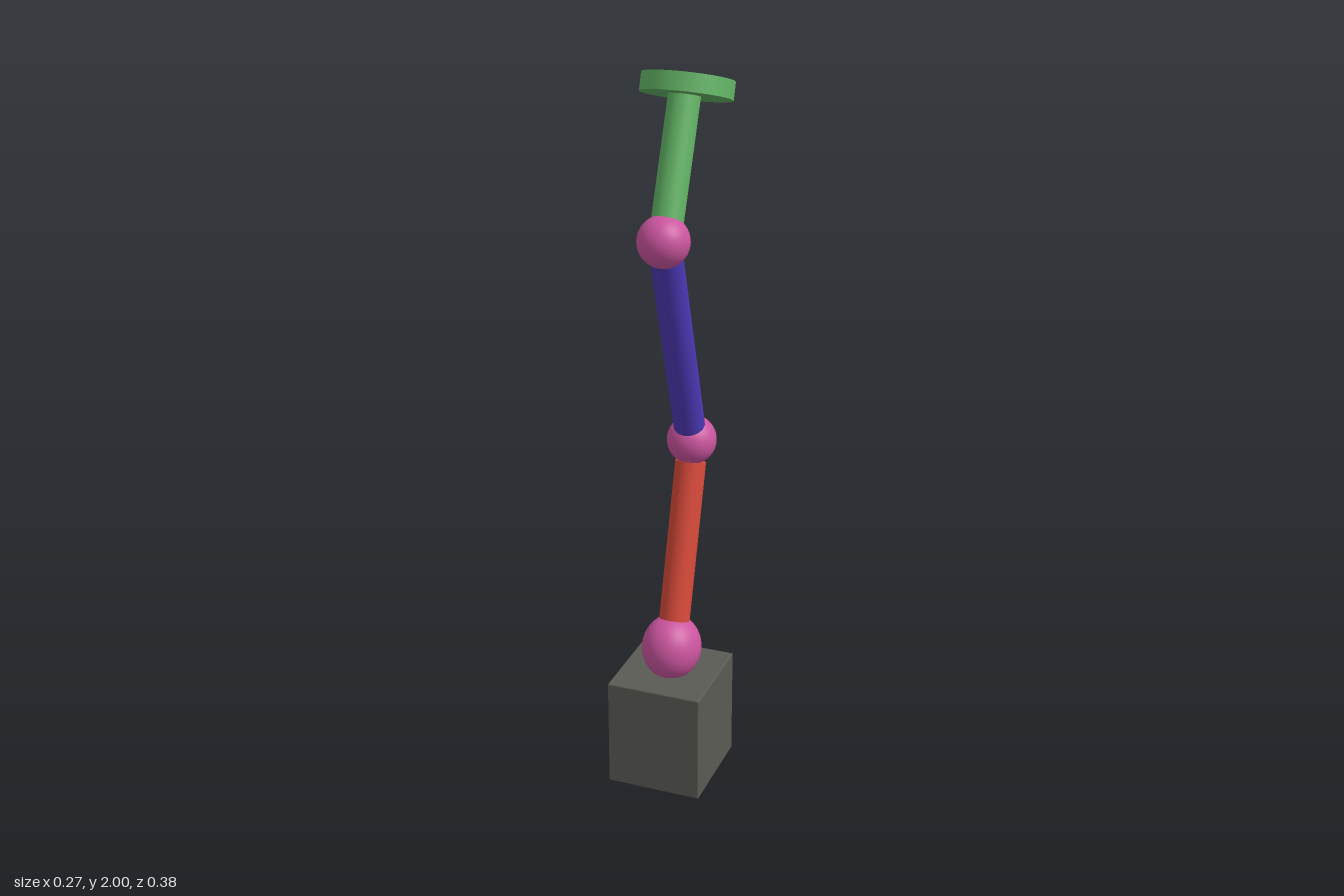
import * as THREE from 'three';
import { RoundedBoxGeometry } from 'three/addons/geometries/RoundedBoxGeometry.js';

const mat = (name, color) => {
  const m = new THREE.MeshStandardMaterial({ color });
  m.name = name;
  return m;
};

export function createModel() {
  const grey = mat('base grey', 0x5b5b55);
  const pink = mat('joint pink', 0xcb559f);
  const red = mat('lower red', 0xd64939);
  const blue = mat('middle blue', 0x4d38b6);
  const green = mat('upper green', 0x62b365);

  const model = new THREE.Group();
  model.name = 'jointedArm';

  const add = (name, geometry, material) => {
    const mesh = new THREE.Mesh(geometry, material);
    mesh.name = name;
    model.add(mesh);
    return mesh;
  };

  // Ball joint centred in the x = 0 plane
  const joint = (name, y, z, rx, ry = rx, rz = rx) => {
    const mesh = add(name, new THREE.SphereGeometry(1, 40, 24), pink);
    mesh.scale.set(rx, ry, rz);
    mesh.position.set(0, y, z);
  };

  // Straight rod between two [y, z] points
  const rod = (name, [y0, z0], [y1, z1], radius, material) => {
    const length = Math.hypot(y1 - y0, z1 - z0);
    const mesh = add(name, new THREE.CylinderGeometry(radius, radius, length, 32), material);
    mesh.position.set(0, (y0 + y1) / 2, (z0 + z1) / 2);
    mesh.rotation.x = Math.atan2(z1 - z0, y1 - y0);
  };

  // Base block with barely softened edges
  add('base', new RoundedBoxGeometry(0.27, 0.316, 0.286, 2, 0.004), grey).position.set(0, 0.158, 0.047);

  // Joints
  joint('baseJoint', 0.385, 0.043, 0.083, 0.092, 0.09);
  joint('elbowJoint', 0.955, -0.114, 0.069);
  joint('wristJoint', 1.58, 0.097, 0.069);

  // Arm segments
  rod('lowerArm', [0.385, 0.043], [0.893, -0.106], 0.043, red);
  rod('middleArm', [0.955, -0.11], [1.53, 0.075], 0.043, blue);
  rod('upperArm', [1.58, 0.088], [1.93, -0.056], 0.042, green);

  // Tilted end plate, slightly oval
  const plate = add('endPlate', new THREE.CylinderGeometry(1, 1, 0.048, 48), green);
  plate.scale.set(0.1215, 1, 0.115);
  plate.position.set(0, 1.94, -0.073);
  plate.rotation.x = THREE.MathUtils.degToRad(-18.5);

  return model;
}
